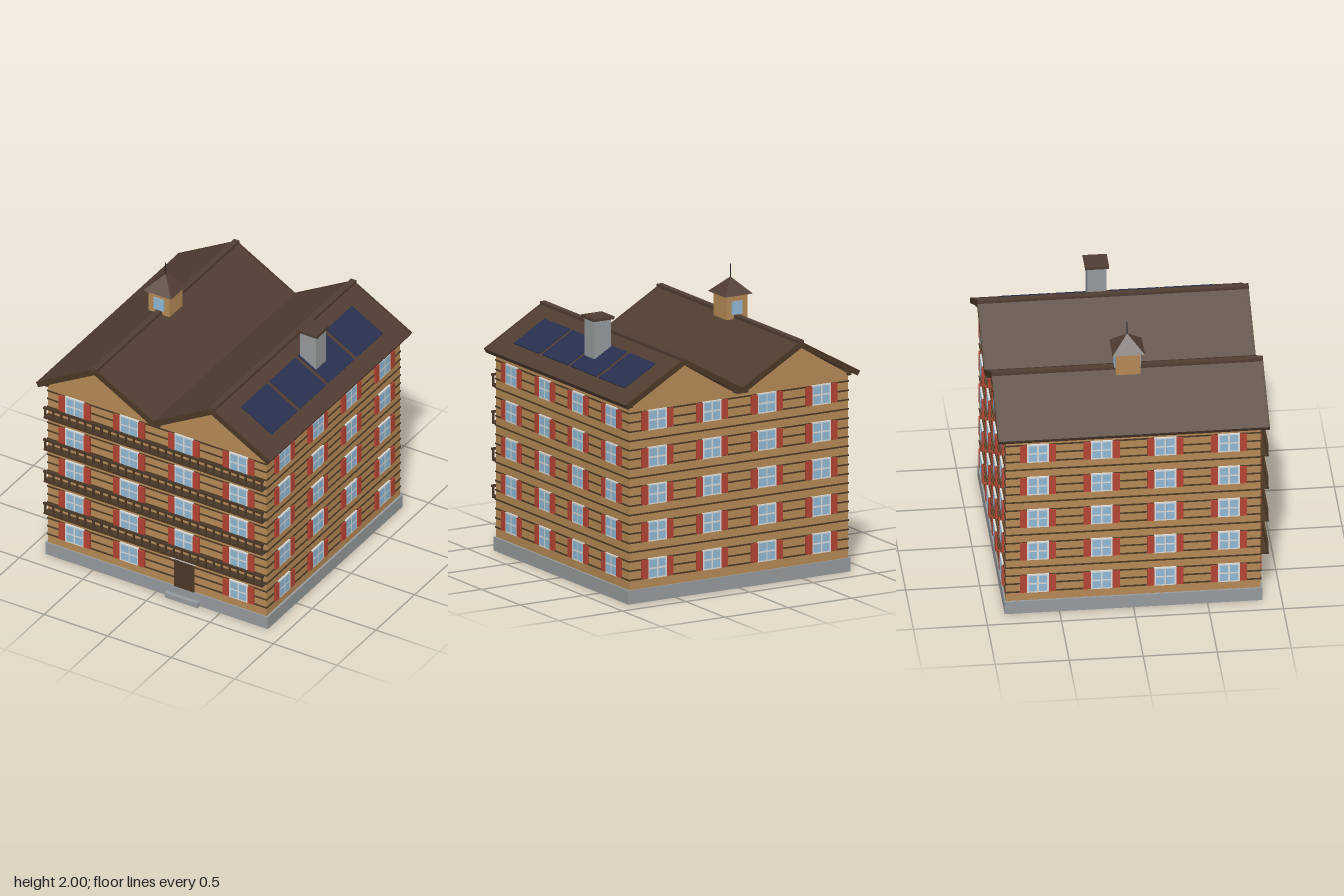
import * as THREE from 'three';

const mat = (name, color) => {
  const m = new THREE.MeshStandardMaterial({ color });
  m.name = name;
  return m;
};
const M = {
  wood: mat('honey timber', 0xb58955),
  trim: mat('dark timber', 0x4a3826),
  roof: mat('brown roofing', 0x503d32),
  stone: mat('grey stone', 0x959a9c),
  glass: mat('window glass', 0x8fb8d4),
  frame: mat('pale frame', 0xd8dad8),
  red: mat('red shutter', 0xb34433),
  door: mat('door brown', 0x4c3729),
  solar: mat('solar blue', 0x28304f),
  metal: mat('spire metal', 0x22242a),
};

// Box given by its size and centre
function box(parent, name, material, w, h, d, x, y, z) {
  const m = new THREE.Mesh(new THREE.BoxGeometry(w, h, d), material);
  m.name = name;
  m.position.set(x, y, z);
  parent.add(m);
  return m;
}

const WALL = 0.86;
const FLOOR = 0.257;
const COLUMNS = [-0.645, -0.215, 0.215, 0.645];
const RIDGE_X = 0.46, RIDGE_Y = 1.655, PITCH = Math.atan(0.567);
const SLOPE = 0.46 / Math.cos(PITCH), THICK = 0.034;

function createWindow() {
  const g = new THREE.Group();
  g.name = 'window';
  box(g, 'frame', M.frame, 0.15, 0.14, 0.014, 0, 0, 0.005);
  for (const sx of [-1, 1]) {
    for (const sy of [-1, 1]) {
      box(g, 'pane', M.glass, 0.056, 0.054, 0.004, sx * 0.034, sy * 0.033, 0.0115);
    }
    box(g, 'shutter', M.red, 0.048, 0.13, 0.018, sx * 0.098, 0, 0.008);
  }
  return g;
}

// Five rows of windows; the front leaves room for the door
function createFacade(name, angle, hasDoor) {
  const g = new THREE.Group();
  g.name = name;
  for (let row = 0; row < 5; row++) {
    COLUMNS.forEach((x, col) => {
      if (hasDoor && row === 0 && col === 2) return;
      const w = createWindow();
      w.position.set(x, 0.228 + row * FLOOR, WALL);
      g.add(w);
    });
  }
  g.rotation.y = angle;
  return g;
}

function createBalcony(y) {
  const g = new THREE.Group();
  g.name = 'balcony';
  box(g, 'deck', M.trim, 1.72, 0.014, 0.056, 0, 0.006, 0.887);
  box(g, 'topRail', M.trim, 1.73, 0.016, 0.014, 0, 0.082, 0.907);
  box(g, 'lowRail', M.trim, 1.72, 0.012, 0.01, 0, 0.012, 0.908);
  for (let i = 0; i < 28; i++) {
    box(g, 'baluster', M.trim, 0.014, 0.08, 0.01, -0.852 + (i * 1.704) / 27, 0.043, 0.907);
  }
  g.position.y = y;
  return g;
}

// One ridge with two tilted slabs, barge boards, cap and gable
function createRoof(x) {
  const g = new THREE.Group();
  g.name = 'gableRoof';
  for (const s of [-1, 1]) {
    const slope = new THREE.Group();
    slope.name = 'roofSlope';
    slope.rotation.z = -s * PITCH;
    box(slope, 'roofSlab', M.roof, SLOPE, THICK, 1.83, s * SLOPE / 2, -THICK / 2, 0);
    for (const z of [-0.91, 0.91]) {
      box(slope, 'bargeBoard', M.trim, SLOPE, THICK + 0.004, 0.014, s * SLOPE / 2, -THICK / 2, z);
    }
    // Solar panels on the outer right slope
    if (x > 0 && s > 0) {
      for (const z of [-0.553, -0.185, 0.18, 0.546]) {
        box(slope, 'solarPanel', M.solar, 0.28, 0.009, 0.33, 0.262, 0.003, z);
      }
    }
    g.add(slope);
  }
  box(g, 'ridgeCap', M.roof, 0.042, 0.03, 1.834, 0, -0.006, 0);
  g.position.set(x, RIDGE_Y, 0);

  const shape = new THREE.Shape();
  shape.moveTo(-0.4, -0.295).lineTo(0.4, -0.295).lineTo(0.4, -0.285)
    .lineTo(0, -0.037).lineTo(-0.4, -0.285);
  const gable = new THREE.Mesh(
    new THREE.ExtrudeGeometry(shape, { depth: 2 * WALL, bevelEnabled: false }), M.wood);
  gable.name = 'gable';
  gable.position.z = -WALL;
  g.add(gable);
  return g;
}

function createCupola() {
  const g = new THREE.Group();
  g.name = 'cupola';
  box(g, 'cupolaBody', M.wood, 0.165, 0.17, 0.165, 0, 1.72, 0);
  for (const s of [-1, 1]) {
    box(g, 'cupolaWindow', M.glass, 0.082, 0.092, 0.009, 0, 1.713, s * 0.086);
  }
  const cone = new THREE.ConeGeometry(0.11 * Math.SQRT2, 0.11, 4, 1).toNonIndexed();
  cone.rotateY(Math.PI / 4);
  cone.computeVertexNormals();
  const top = new THREE.Mesh(cone, M.roof);
  top.name = 'cupolaRoof';
  top.position.y = 1.856;
  g.add(top);
  const spire = new THREE.Mesh(new THREE.CylinderGeometry(0.004, 0.004, 0.1, 8), M.metal);
  spire.name = 'spire';
  spire.position.y = 1.95;
  g.add(spire);
  g.position.x = -RIDGE_X;
  return g;
}

export function createModel() {
  const model = new THREE.Group();
  model.name = 'chaletBlock';

  // Base, walls and log courses
  box(model, 'foundation', M.stone, 1.75, 0.095, 1.74, 0, 0.0475, 0);
  box(model, 'walls', M.wood, 2 * WALL, 1.275, 2 * WALL, 0, 0.7275, 0);
  for (let i = 0; i < 19; i++) {
    box(model, 'logCourse', M.trim, 1.73, 0.01, 1.73, 0, 0.163 + (i * FLOOR) / 4, 0);
  }
  for (const s of [-1, 1]) {
    box(model, 'eaveBeam', M.trim, 0.025, 0.018, 1.77, s * 0.86, 1.373, 0);
  }

  // Four window walls
  ['front', 'leftSide', 'back', 'rightSide'].forEach((name, i) => {
    model.add(createFacade(name + 'Windows', (i * Math.PI) / 2, i === 0));
  });

  // Entrance
  box(model, 'door', M.door, 0.155, 0.225, 0.02, 0.217, 0.2075, 0.862);
  box(model, 'doorCanopy', M.frame, 0.195, 0.018, 0.03, 0.214, 0.328, 0.867);
  box(model, 'doorStep', M.stone, 0.255, 0.036, 0.06, 0.212, 0.018, 0.87);

  for (let i = 1; i < 5; i++) model.add(createBalcony(0.098 + i * FLOOR));

  // Twin roof with its valley
  model.add(createRoof(-RIDGE_X), createRoof(RIDGE_X));
  box(model, 'valleyGutter', M.roof, 0.09, 0.03, 1.83, 0, 1.374, 0);

  // Chimney
  box(model, 'chimney', M.stone, 0.128, 0.33, 0.128, 0.642, 1.625, -0.095);
  box(model, 'chimneyCap', M.roof, 0.162, 0.02, 0.162, 0.642, 1.797, -0.095);

  model.add(createCupola());
  return model;
}
